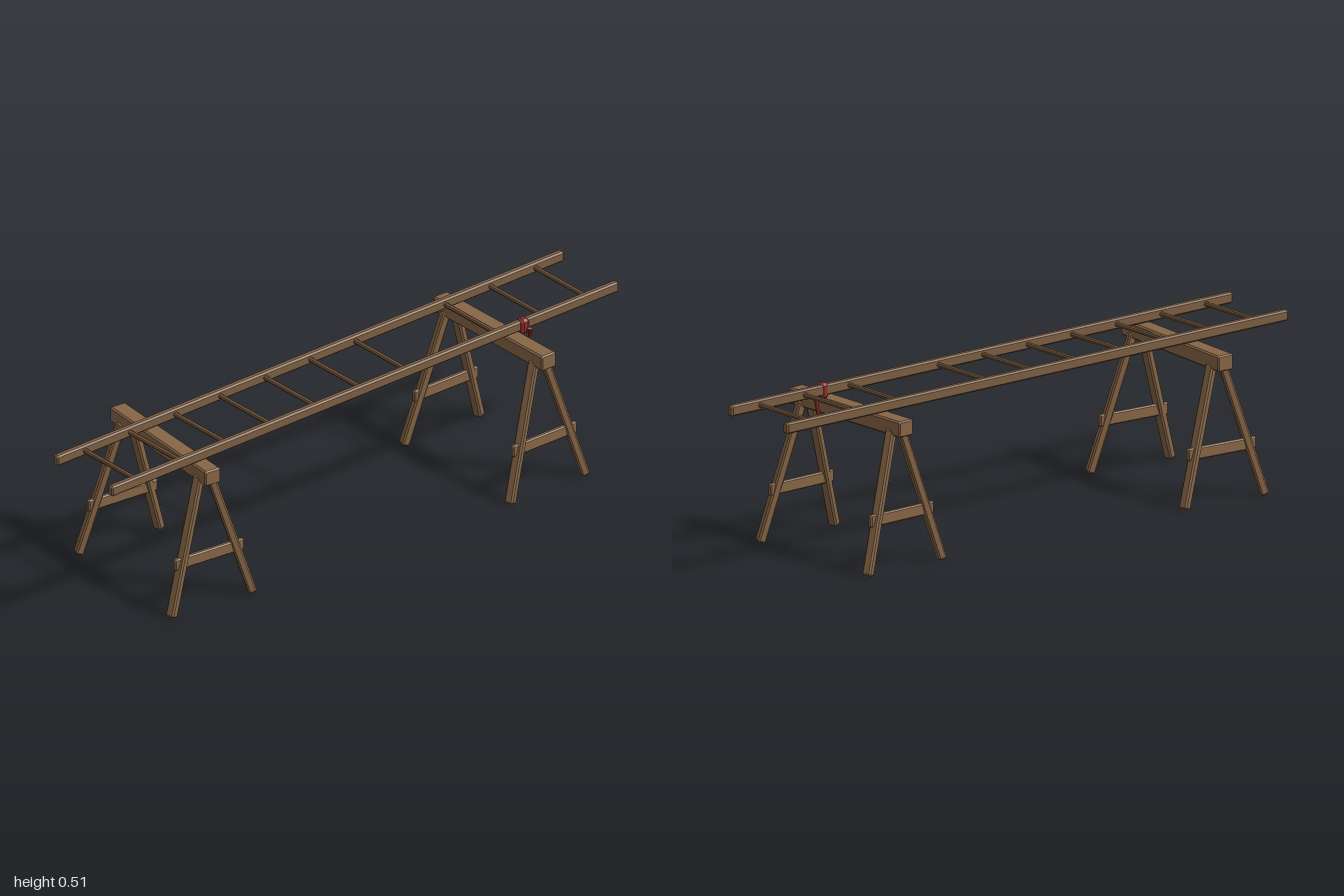
import * as THREE from 'three';

const wood = (name, color) => new THREE.MeshStandardMaterial({ name, color });

// Chamfered bar running from a to b; w is its sideways width, h its upright height.
function bar(name, a, b, w, h, c, material) {
  const from = new THREE.Vector3(...a), to = new THREE.Vector3(...b);
  const length = from.distanceTo(to), x = w / 2, y = h / 2;
  const corners = [
    [x, -y + c], [x, y - c], [x - c, y], [-x + c, y],
    [-x, y - c], [-x, -y + c], [-x + c, -y], [x - c, -y],
  ];
  const shape = new THREE.Shape(corners.map(([u, v]) => new THREE.Vector2(u, v)));
  const geometry = new THREE.ExtrudeGeometry(shape, {
    depth: length - 2 * c, bevelEnabled: true, bevelSegments: 1,
    bevelSize: c * 0.8, bevelThickness: c, bevelOffset: -c * 0.8,
  });
  geometry.translate(0, 0, c - length / 2);
  const mesh = new THREE.Mesh(geometry, material);
  mesh.name = name;
  mesh.position.copy(from).add(to).multiplyScalar(0.5);
  mesh.lookAt(to);
  return mesh;
}

// Sawhorse: top beam along z, a splayed pair of legs and a brace at each end.
function createTrestle(name, material) {
  const trestle = new THREE.Group();
  trestle.name = name;
  trestle.add(bar('topBeam', [0, 0.437, -0.254], [0, 0.437, 0.254], 0.056, 0.05, 0.005, material));
  for (const end of [-1, 1]) {
    for (const side of [-1, 1]) {
      trestle.add(bar('leg', [side * 0.018, 0.427, end * 0.205],
        [side * 0.147, 0.004, end * 0.246], 0.03, 0.026, 0.005, material));
    }
    trestle.add(bar('legBrace', [-0.125, 0.166, end * 0.229], [0.125, 0.166, end * 0.229],
      0.016, 0.038, 0.004, material));
  }
  return trestle;
}

// Ladder lying along x, with one rung missing.
function createLadder(material) {
  const ladder = new THREE.Group();
  ladder.name = 'ladder';
  for (const side of [-1, 1]) {
    ladder.add(bar('rail', [-0.993, 0, side * 0.127], [0.993, 0, side * 0.127],
      0.022, 0.034, 0.005, material));
  }
  const rungGeometry = new THREE.CylinderGeometry(0.008, 0.008, 0.25, 8).toNonIndexed();
  rungGeometry.computeVertexNormals();
  rungGeometry.rotateX(Math.PI / 2);
  for (let i = 0; i < 11; i++) {
    if (i === 7) continue;
    const rung = new THREE.Mesh(rungGeometry, material);
    rung.name = 'rung';
    rung.position.x = -0.885 + i * 0.1765;
    ladder.add(rung);
  }
  return ladder;
}

// Cloth strip wrapped round the front rail, with a knot and a hanging tail.
function createRag(material) {
  const rag = new THREE.Group();
  rag.name = 'rag';
  rag.add(
    bar('ragWrap', [0.615, 0.487, 0.095], [0.645, 0.487, 0.093], 0.032, 0.05, 0.008, material),
    bar('ragKnot', [0.632, 0.478, 0.108], [0.65, 0.476, 0.116], 0.013, 0.016, 0.004, material),
    bar('ragTail', [0.642, 0.48, 0.118], [0.637, 0.394, 0.1], 0.012, 0.007, 0.002, material),
  );
  return rag;
}

export function createModel() {
  const trestleWood = wood('trestle wood', 0x876646);
  const ladderWood = wood('ladder wood', 0x7c5d40);
  const redCloth = wood('red cloth', 0x962b2e);

  const model = new THREE.Group();
  model.name = 'ladderOnTrestles';

  const rightTrestle = createTrestle('rightTrestle', trestleWood);
  rightTrestle.position.x = -0.628;
  rightTrestle.rotation.y = -0.03;

  const leftTrestle = createTrestle('leftTrestle', trestleWood);
  leftTrestle.position.x = 0.593;
  leftTrestle.rotation.y = 0.07;

  const ladder = createLadder(ladderWood);
  ladder.position.set(0, 0.485, 0.007);
  ladder.rotation.set(0, 0.07, 0.0076);

  model.add(rightTrestle, leftTrestle, ladder, createRag(redCloth));
  return model;
}
